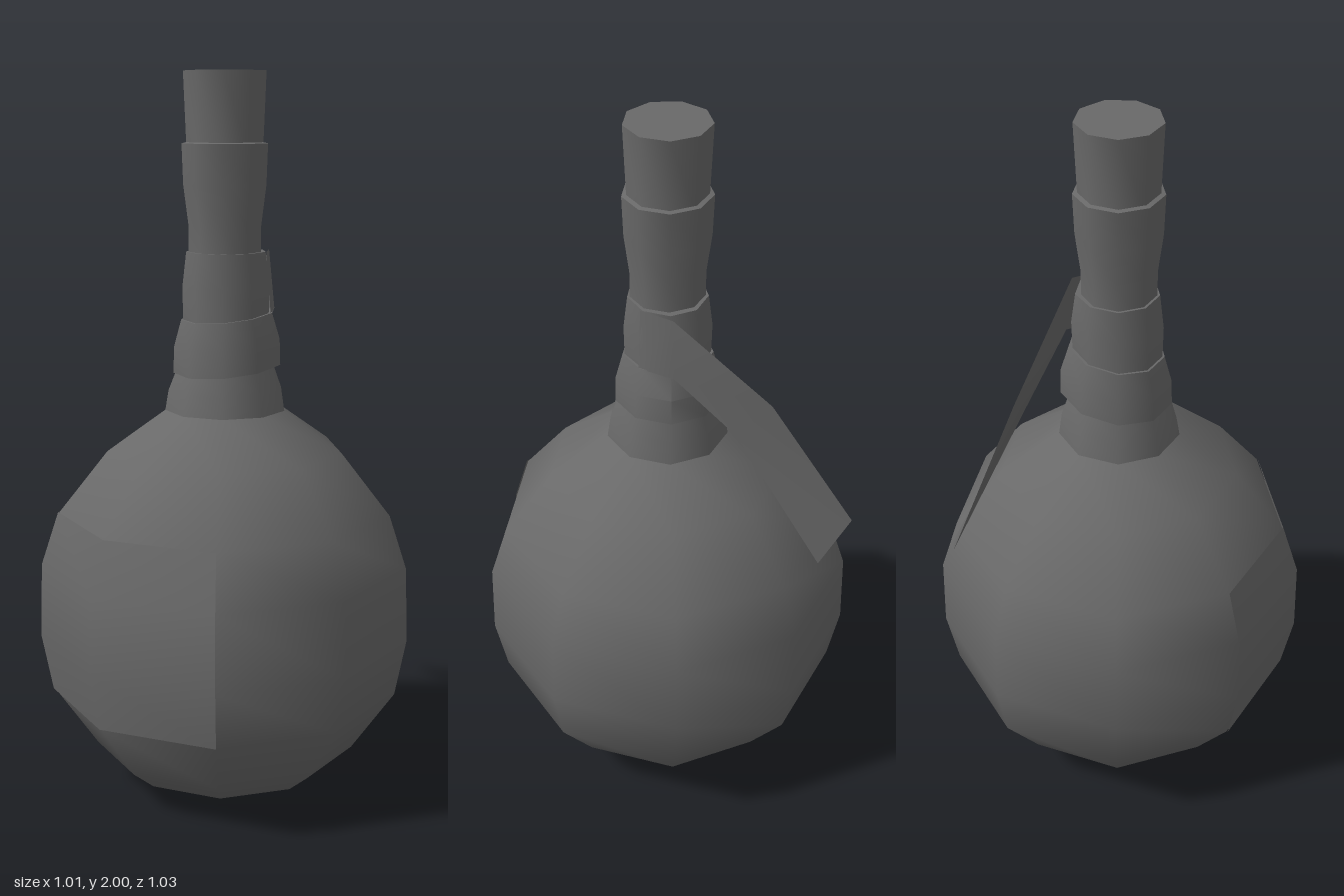
import * as THREE from 'three';
import { toCreasedNormals } from 'three/addons/utils/BufferGeometryUtils.js';

const SIDES = 9;
const PHASE = THREE.MathUtils.degToRad(91);
const STEP = (Math.PI * 2) / SIDES;
const CENTRE_X = -0.015;

export function createModel() {
  const bottle = new THREE.Group();
  bottle.name = 'bottle';
  const dark = new THREE.MeshStandardMaterial({ color: 0x696969 });
  const darkCloth = new THREE.MeshStandardMaterial({ color: 0x696969, side: THREE.DoubleSide });

  const add = (name, geometry, material) => {
    const mesh = new THREE.Mesh(geometry, material);
    mesh.name = name;
    bottle.add(mesh);
    return mesh;
  };

  // Nine-sided turned form from [radius, height] pairs, or only some of its sides
  const turn = (profile, firstSide = 0, sides = SIDES) => new THREE.LatheGeometry(
    profile.map(([r, y]) => new THREE.Vector2(r, y)), sides, PHASE + firstSide * STEP, sides * STEP);

  const addTurned = (name, geometry, material = dark) => {
    add(name, toCreasedNormals(geometry, 0.8), material).position.x = CENTRE_X;
  };

  // Round flask body
  addTurned('body', turn([
    [0, 0], [0.18, 0], [0.295, 0.05], [0.37, 0.11], [0.49, 0.28], [0.521, 0.44],
    [0.515, 0.65], [0.466, 0.8], [0.33, 0.97], [0.165, 1.085], [0.12, 1.12],
  ]));

  // Neck with a flared lip
  addTurned('neck', turn([
    [0.13, 1.06], [0.11, 1.25], [0.1, 1.45], [0.1, 1.59], [0.114, 1.7], [0.118, 1.81], [0.095, 1.815],
  ]));

  // Stopper, slightly wider at the top
  addTurned('stopper', turn([[0.104, 1.78], [0.113, 2], [0, 2]]));

  // Label covering the two front facets
  addTurned('label', turn([[0.494, 0.28], [0.525, 0.44], [0.519, 0.65], [0.47, 0.8]], 6, 2), darkCloth);

  // Cloth bands: bottom and top height, bottom, middle and top radius,
  // rise towards the back at bottom and top, backward stretch
  const bands = [
    ['lowerWrap', 1.08, 1.21, 0.168, 0.158, 0.134, 0, 0.015, 1],
    ['middleWrap', 1.2, 1.345, 0.144, 0.142, 0.122, 0.015, 0.015, 1.15],
    ['upperWrap', 1.34, 1.52, 0.116, 0.118, 0.107, 0.015, 0, 1.1],
  ];
  for (const [name, y0, y1, r0, rm, r1, tilt0, tilt1, stretch] of bands) {
    const geometry = turn([[r0 - 0.03, y0], [r0, y0], [rm, (y0 + y1) / 2], [r1, y1], [r1 - 0.02, y1]]);
    const p = geometry.attributes.position;
    for (let i = 0; i < p.count; i++) {
      const t = (p.getY(i) - y0) / (y1 - y0);
      const back = -p.getZ(i) / r0;
      p.setY(i, p.getY(i) + back * THREE.MathUtils.lerp(tilt0, tilt1, t));
      if (back > 0) p.setZ(i, p.getZ(i) * stretch);
    }
    addTurned(name, geometry, darkCloth);
  }

  // Loose cloth end leaving the upper band: pairs of upper and lower edge points
  const pairs = [
    [[0.072, 1.52, -0.075], [0.08, 1.35, -0.085]],
    [[0, 1.52, -0.14], [0, 1.355, -0.16]],
    [[-0.255, 1.26, -0.2], [-0.155, 1.19, -0.212]],
    [[-0.47, 0.91, -0.29], [-0.36, 0.83, -0.355]],
  ];
  const index = [];
  for (let a = 0; a < pairs.length * 2 - 2; a += 2) {
    index.push(a, a + 1, a + 2, a + 1, a + 3, a + 2);
  }
  const tail = new THREE.BufferGeometry();
  tail.setAttribute('position', new THREE.Float32BufferAttribute(pairs.flat(2), 3));
  tail.setIndex(index);
  tail.computeVertexNormals();
  add('looseClothEnd', tail, darkCloth);

  return bottle;
}
